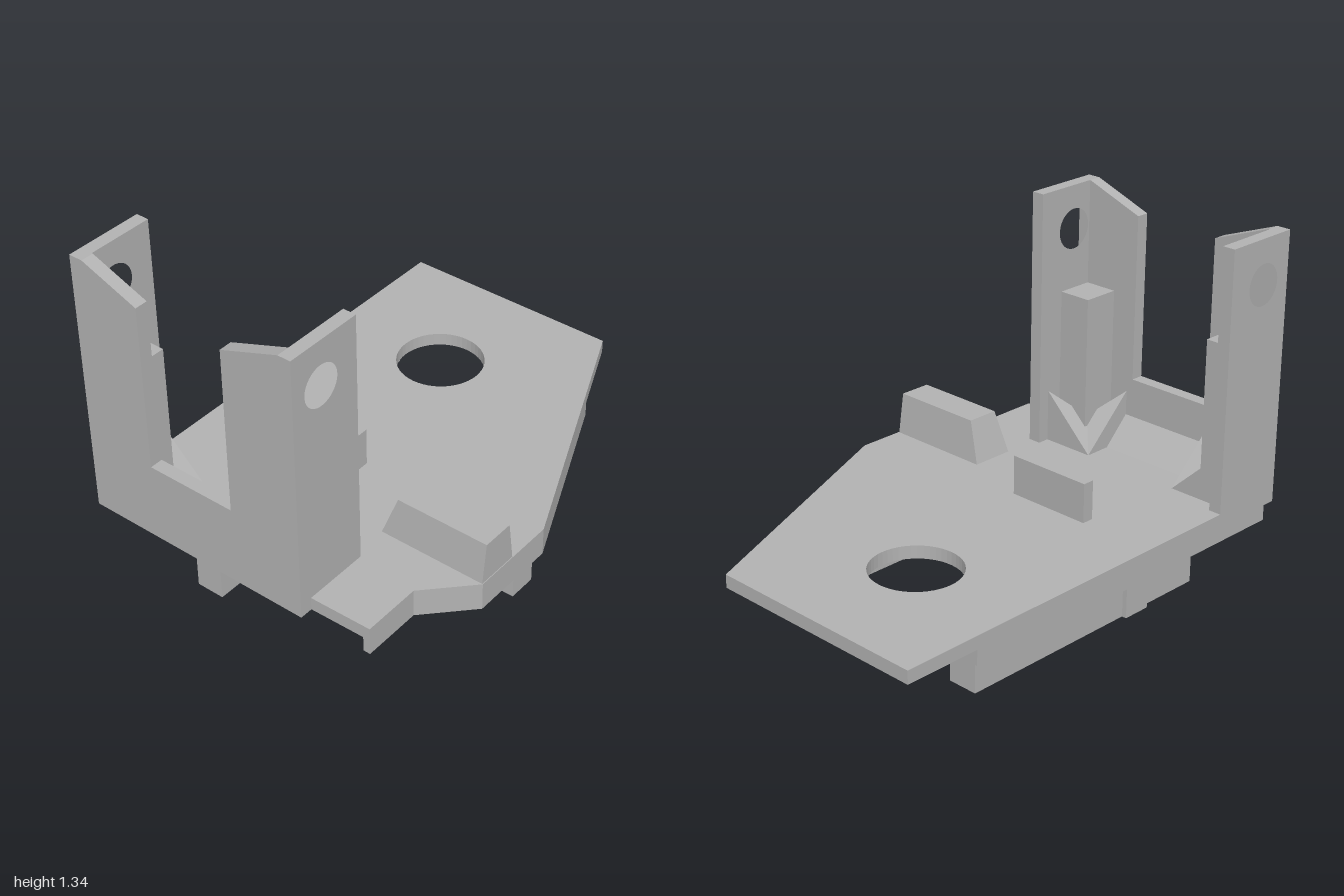
import * as THREE from 'three';

const gray = new THREE.MeshStandardMaterial({ color: 0xb2b2b2 });
gray.name = 'plainGray';

const FLOOR = 0.26, UNDER = 0.205, MID = -0.2225; // MID: mirror plane of the two towers

export function createModel() {
  const group = new THREE.Group();

  const add = (name, geometry) => {
    const mesh = new THREE.Mesh(geometry, gray);
    mesh.name = name;
    group.add(mesh);
    return mesh;
  };
  const box = (name, x0, x1, y0, y1, z0, z1) =>
    add(name, new THREE.BoxGeometry(x1 - x0, y1 - y0, z1 - z0)
      .translate((x0 + x1) / 2, (y0 + y1) / 2, (z0 + z1) / 2));
  const makeShape = (points, hole) => {
    const shape = new THREE.Shape(points.map(([a, b]) => new THREE.Vector2(a, b)));
    if (hole) shape.holes.push(new THREE.Path().absarc(hole[0], hole[1], hole[2], 0, Math.PI * 2, true));
    return shape;
  };
  const extrude = (points, depth, hole) =>
    new THREE.ExtrudeGeometry(makeShape(points, hole), { depth, bevelEnabled: false, curveSegments: 24 });
  // Outline in (x, z), raised from y0 to y1
  const slab = (name, points, y0, y1, hole) =>
    add(name, extrude(points, y1 - y0, hole).rotateX(Math.PI / 2).translate(0, y1, 0));
  // Outline in (z, y), spread from x0 to x1
  const sideSlab = (name, points, x0, x1, hole) =>
    add(name, extrude(points.map(([z, y]) => [-z, y]), x1 - x0, hole && [-hole[0], hole[1], hole[2]])
      .rotateY(Math.PI / 2).translate(x0, 0, 0));
  // Flat-faced solid from corners and triangles
  const solid = (name, corners, faces) => {
    const geo = new THREE.BufferGeometry();
    geo.setAttribute('position', new THREE.Float32BufferAttribute(
      faces.flatMap(f => f.flatMap(i => corners[i])), 3));
    geo.computeVertexNormals();
    return add(name, geo);
  };

  // Base plate with round hole
  slab('basePlate', [[-0.73, -1], [0.235, -1], [0.725, 0.13], [0.725, 0.51], [0.55, 0.69],
    [0.55, 0.94], [0.285, 0.945], [-0.73, 0.945]], UNDER, FLOOR, [-0.22, -0.475, 0.183]);

  // Skirts under both side edges
  box('rightSkirt', -0.73, -0.675, 0.14, UNDER, -0.67, 0.945);
  slab('leftSkirt', [[0.378, -0.67], [0.725, 0.13], [0.725, 0.51], [0.55, 0.69], [0.55, 0.94],
    [0.52, 0.94], [0.52, 0.678], [0.695, 0.498], [0.695, 0.136], [0.345, -0.67]], 0.14, UNDER);

  // Ribs under the plate: x0, x1, z0, z1
  [[-0.69, -0.565, -0.64, 0.145], [-0.69, -0.565, 0.265, 0.545],
    [-0.285, -0.165, -0.09, 0.145], [-0.285, -0.165, 0.265, 0.94],
    [0.23, 0.35, -0.64, 0.145], [0.23, 0.35, 0.265, 0.545]]
    .forEach(([x0, x1, z0, z1]) => box('longRib', x0, x1, 0, UNDER, z0, z1));
  box('crossRib', -0.71, 0.69, 0, UNDER, 0.145, 0.265);

  // Front wall with U-shaped opening
  add('frontWall', extrude([[-0.73, UNDER], [0.285, UNDER], [0.285, 1.34], [0.23, 1.34],
    [-0.03, 1.245], [-0.03, 0.54], [-0.42, 0.54], [-0.42, 1.245], [-0.67, 1.34], [-0.73, 1.34]], 0.055)
    .translate(0, 0, 0.945));

  // Tower sides, inner posts and V-shaped gussets, mirrored about MID
  for (const left of [true, false]) {
    const mx = x => (left ? x : 2 * MID - x);
    const span = (a, b) => (left ? [a, b] : [mx(b), mx(a)]);
    const [w0, w1] = span(0.23, 0.285);
    sideSlab('towerSide', [[0.665, FLOOR], [0.945, FLOOR], [0.945, 1.34], [0.665, 1.34]],
      w0, w1, [0.853, 1.155, 0.085]);
    const [p0, p1] = span(0.085, 0.23);
    box('towerPost', p0, p1, FLOOR, 0.9, 0.785, 0.945);

    // Corners: tip, outer foot, outer top, front foot, front top, valley end on the long side
    const h = FLOOR + 0.22;
    const corners = [[0, FLOOR, 0.715], [0.23, FLOOR, 0.715], [0.23, h, 0.715],
      [0, FLOOR, 0.945], [0, h, 0.945], [0.115, FLOOR + 0.11, 0.83]]
      .map(([x, y, z]) => [mx(x), y, z]);
    const faces = [[0, 2, 1], [0, 3, 4], [0, 5, 2], [0, 4, 5], [1, 2, 5], [1, 5, 3], [3, 5, 4]];
    solid('towerGusset', corners, left ? faces : faces.map(([a, b, c]) => [a, c, b]));
  }

  // Sloped fillet behind the front wall
  sideSlab('wallRamp', [[0.83, FLOOR], [0.945, FLOOR], [0.945, 0.375]], -0.445, 0);

  // Small upright tab
  box('uprightTab', -0.405, -0.035, FLOOR, 0.425, 0.235, 0.285);

  // Tapered block near the left edge
  const block = box('taperedBlock', 0.26, 0.722, FLOOR, 0.43, 0.325, 0.51);
  const pos = block.geometry.attributes.position;
  for (let i = 0; i < pos.count; i++) {
    if (pos.getY(i) < 0.4) continue;
    if (pos.getX(i) < 0.5) pos.setX(i, 0.32);
    pos.setZ(i, pos.getZ(i) < 0.4 ? 0.35 : 0.488);
  }
  block.geometry.computeVertexNormals();

  return group;
}
